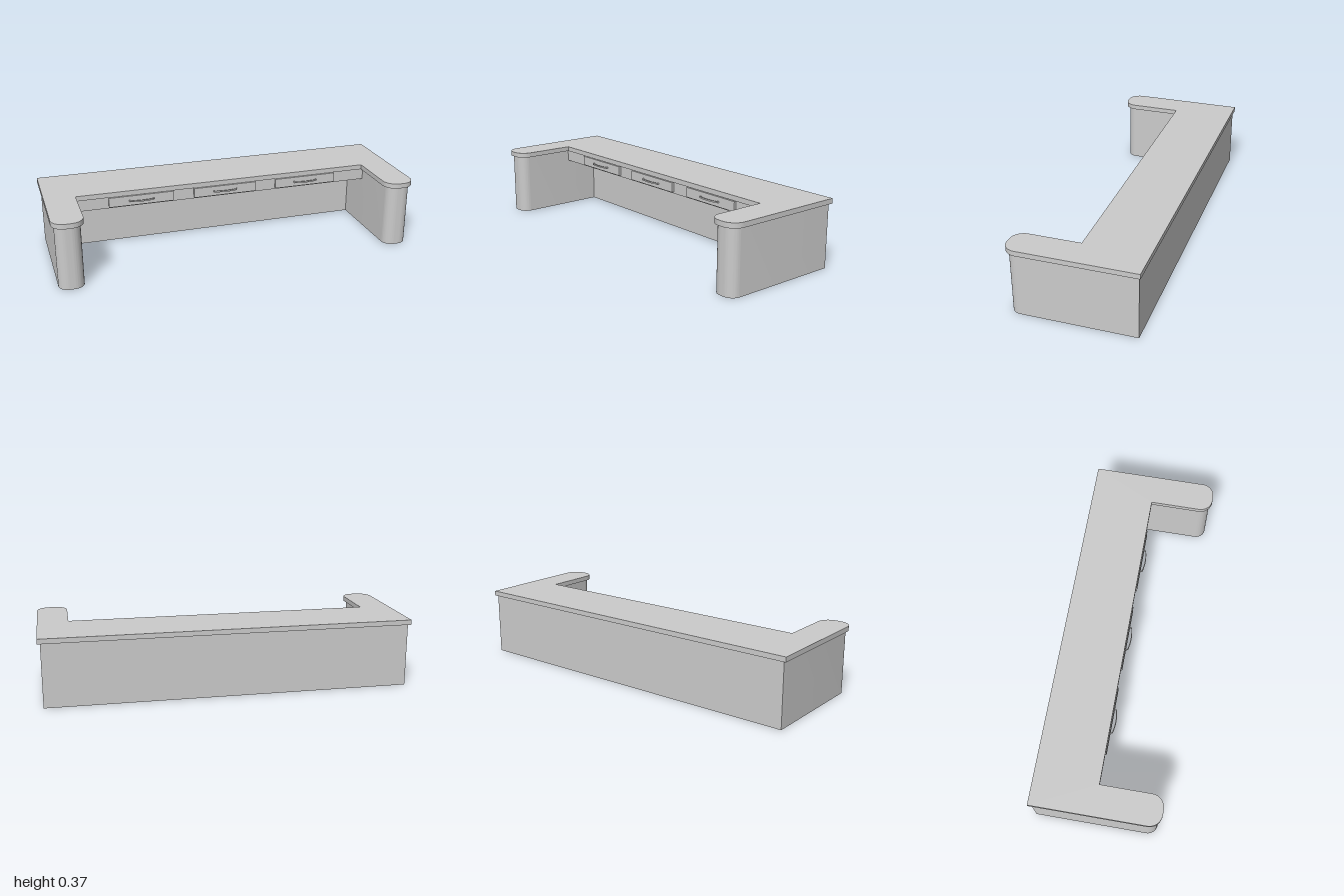
import * as THREE from 'three';
import { toCreasedNormals } from 'three/addons/utils/BufferGeometryUtils.js';

const material = new THREE.MeshStandardMaterial({ color: 0xcccccc });

function addMesh(parent, name, geometry, x = 0, y = 0, z = 0) {
  const mesh = new THREE.Mesh(geometry, material);
  mesh.name = name;
  mesh.position.set(x, y, z);
  parent.add(mesh);
  return mesh;
}

// Plan drawn in x and z, raised from y = bottom to y = top
function slab(shape, bottom, top) {
  const geometry = new THREE.ExtrudeGeometry(shape, {
    depth: top - bottom, bevelEnabled: false, curveSegments: 12,
  });
  geometry.rotateX(Math.PI / 2);
  geometry.translate(0, top, 0);
  return toCreasedNormals(geometry, 0.6);
}

// U-shaped plan with rounded arm ends
function uPlan(outer, inner, back, inside, front, r) {
  const s = new THREE.Shape();
  s.moveTo(-outer, back);
  s.lineTo(outer, back);
  s.lineTo(outer, front - r);
  s.absarc(outer - r, front - r, r, 0, Math.PI / 2, false);
  s.lineTo(inner + r, front);
  s.absarc(inner + r, front - r, r, Math.PI / 2, Math.PI, false);
  s.lineTo(inner, inside);
  s.lineTo(-inner, inside);
  s.lineTo(-inner, front - r);
  s.absarc(-inner - r, front - r, r, 0, Math.PI / 2, false);
  s.lineTo(-outer + r, front);
  s.absarc(-outer + r, front - r, r, Math.PI / 2, Math.PI, false);
  s.closePath();
  return s;
}

// Bowed pull: a thin strip with short returns to the drawer front
function pullPlan() {
  const s = new THREE.Shape();
  s.moveTo(-0.07, 0);
  s.lineTo(-0.064, 0);
  s.lineTo(-0.061, 0.01);
  s.quadraticCurveTo(0, 0.024, 0.061, 0.01);
  s.lineTo(0.064, 0);
  s.lineTo(0.07, 0);
  s.lineTo(0.066, 0.013);
  s.quadraticCurveTo(0, 0.031, -0.066, 0.013);
  s.closePath();
  return s;
}

export function createModel() {
  const desk = new THREE.Group();
  desk.name = 'receptionDesk';

  // Back wall and side wings in one piece, with the counter on top
  addMesh(desk, 'base', slab(uPlan(0.985, 0.85, -0.335, -0.205, 0.33, 0.055), 0, 0.345));
  addMesh(desk, 'counterTop', slab(uPlan(1, 0.833, -0.345, 0, 0.345, 0.07), 0.345, 0.372));

  // Drawer housing under the counter
  addMesh(desk, 'drawerHousing', new THREE.BoxGeometry(1.7, 0.065, 0.195), 0, 0.3125, -0.1075);

  // Three drawers with bowed pulls
  const frontPanel = new THREE.BoxGeometry(0.36, 0.054, 0.014);
  const pull = slab(pullPlan(), -0.004, 0.004);
  for (const x of [-0.477, 0, 0.48]) {
    const drawer = new THREE.Group();
    drawer.name = 'drawer';
    drawer.position.set(x, 0.315, 0);
    addMesh(drawer, 'drawerFront', frontPanel, 0, 0, -0.004);
    addMesh(drawer, 'drawerPull', pull, 0, 0, 0.002);
    desk.add(drawer);
  }
  return desk;
}
